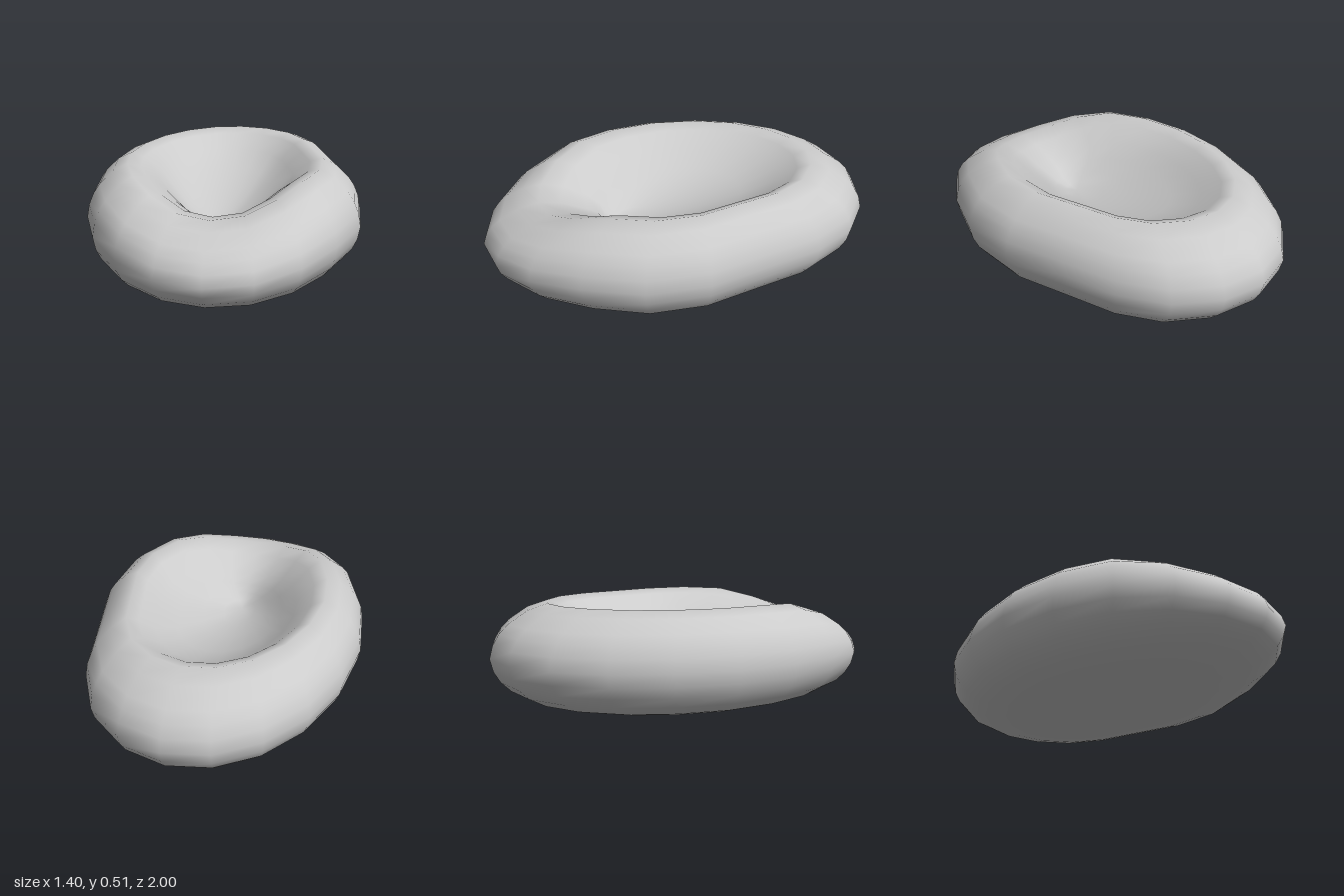
import * as THREE from 'three';

const SEGMENTS = 20;

// Closed profile from underside to bowl: [scale of outline, height, shift to the front]
const PROFILE = [
  [0.35, 0.003, 0], [0.6, 0.005, 0], [0.71, 0.012, 0], [0.81, 0.035, 0], [0.9, 0.082, 0],
  [0.95, 0.13, 0], [0.983, 0.185, 0], [1, 0.25, 0], [0.983, 0.315, 0], [0.95, 0.37, 0],
  [0.905, 0.415, 0], [0.81, 0.477, 0], [0.71, 0.508, 0],
  [0.62, 0.482, -0.02], [0.5, 0.41, -0.03], [0.38, 0.34, 0.03],
  [0.25, 0.275, 0.13], [0.12, 0.23, 0.21],
];

// Small sideways dents in the outline, by segment counted from the front
const DENTS = { 4: 0.02, 6: -0.05, 7: -0.025 };

// How far the rim sags at each segment away from the front
const SAG = [0.225, 0.195, 0.1, 0.015];

function createCushion() {
  const positions = [];
  const indices = [];
  const last = PROFILE.length - 1;

  // Oval rings, sagging at the front; the bowl deepens towards the front
  PROFILE.forEach(([scale, height, shift]) => {
    const fade = Math.min(1, scale / 0.5);
    for (let i = 0; i < SEGMENTS; i++) {
      const angle = (i / SEGMENTS) * Math.PI * 2;
      const sag = (SAG[Math.min(i, SEGMENTS - i)] || 0) * fade;
      const x = 0.7 * Math.sin(angle) + 0.015 * Math.abs(Math.cos(angle)) + (DENTS[i] || 0);
      positions.push(x * scale, height * (1 - sag), Math.cos(angle) * scale + shift);
    }
  });

  // Centre points of the underside and the bowl
  const bottom = positions.length / 3;
  positions.push(0, 0.002, 0, 0, 0.21, 0.27);

  for (let i = 0; i < SEGMENTS; i++) {
    const next = (i + 1) % SEGMENTS;
    for (let ring = 0; ring < last; ring++) {
      const a = ring * SEGMENTS + i;
      const b = ring * SEGMENTS + next;
      indices.push(a, b, b + SEGMENTS, a, b + SEGMENTS, a + SEGMENTS);
    }
    indices.push(bottom, next, i);
    indices.push(bottom + 1, last * SEGMENTS + i, last * SEGMENTS + next);
  }

  const geometry = new THREE.BufferGeometry();
  geometry.setAttribute('position', new THREE.Float32BufferAttribute(positions, 3));
  geometry.setIndex(indices);
  geometry.computeVertexNormals();
  return geometry;
}

export function createModel() {
  const group = new THREE.Group();
  group.name = 'petBed';
  const material = new THREE.MeshStandardMaterial({ color: 0xcccccc });
  const cushion = new THREE.Mesh(createCushion(), material);
  cushion.name = 'cushion';
  group.add(cushion);
  return group;
}
